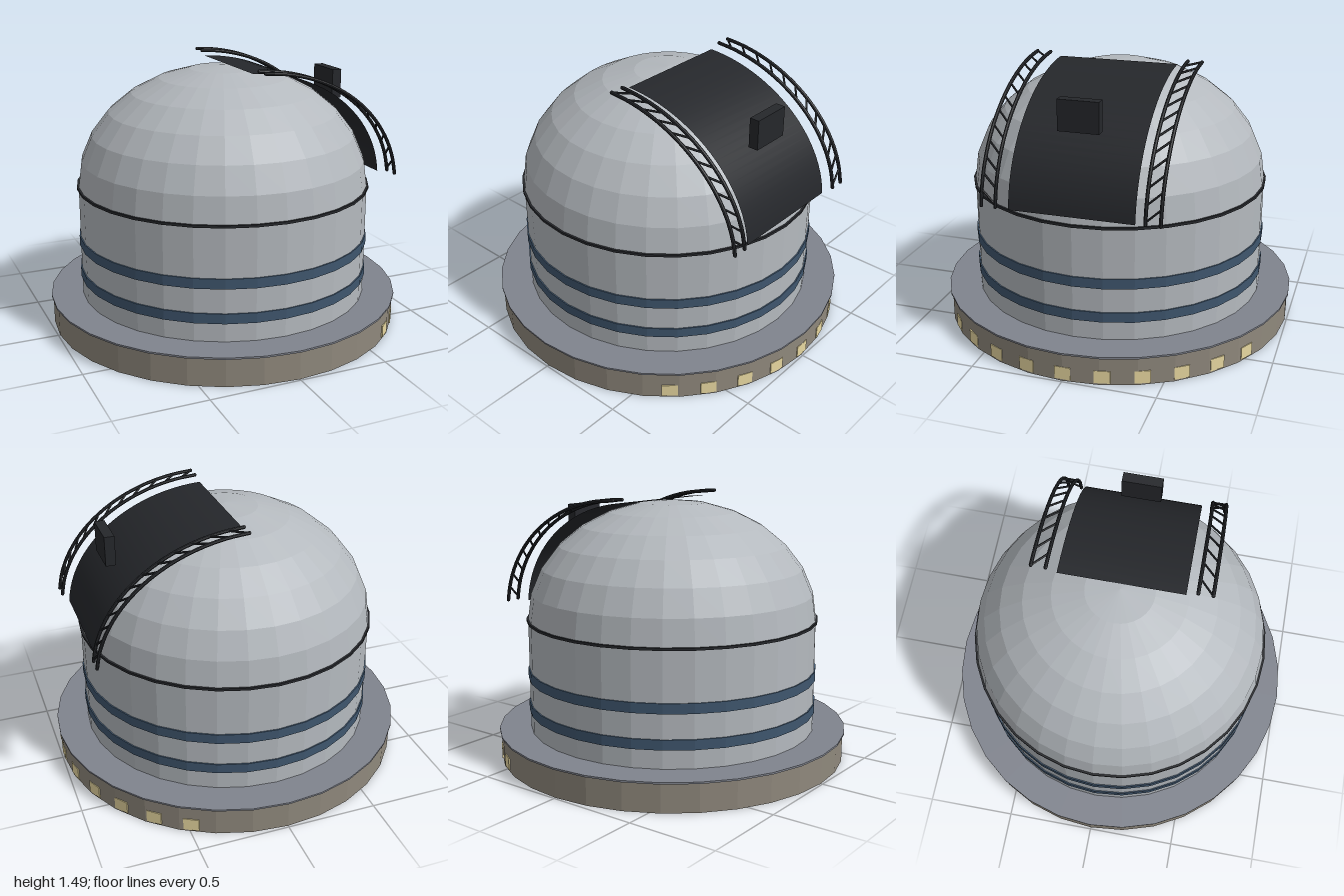
import * as THREE from 'three';

const SIDES = 32;
const paint = (color, extra = {}) =>
  new THREE.MeshStandardMaterial({ color, flatShading: true, ...extra });

export function createModel() {
  const model = new THREE.Group();
  model.name = 'observatory';

  const wallGrey = paint(0xb4b9be);
  const stone = paint(0x8f887c);
  const deckGrey = paint(0x80848e);
  const blue = paint(0x3f566e);
  const black = paint(0x25272b);
  const sheet = paint(0x25272b, { side: THREE.DoubleSide, flatShading: false });
  const glow = paint(0xe8d8a0);

  const add = (name, geometry, material, parent = model) => {
    const mesh = new THREE.Mesh(geometry, material);
    mesh.name = name;
    parent.add(mesh);
    return mesh;
  };
  // Upright drum between two heights
  const drum = (name, radius, y0, y1, material) => {
    add(name, new THREE.CylinderGeometry(radius, radius, y1 - y0, SIDES), material)
      .position.y = (y0 + y1) / 2;
  };

  // Base, deck, wall and its bands
  drum('base', 0.99, 0, 0.156, stone);
  drum('deck', 1.0, 0.155, 0.165, deckGrey);
  drum('wall', 0.82, 0.16, 0.79, wallGrey);
  drum('lowerBand', 0.827, 0.267, 0.322, blue);
  drum('upperBand', 0.827, 0.457, 0.512, blue);
  drum('domeTrim', 0.83, 0.783, 0.797, black);

  // Flattened hemispherical dome
  const domeY = 0.79;
  const dome = add('dome',
    new THREE.SphereGeometry(0.82, SIDES, 7, 0, Math.PI * 2, 0, Math.PI / 2), wallGrey);
  dome.scale.y = 0.665 / 0.82;
  dome.position.y = domeY;

  // Lit windows around the +x side of the base
  const windows = new THREE.Group();
  windows.name = 'windows';
  model.add(windows);
  for (let i = -5; i <= 4; i++) {
    const a = THREE.MathUtils.degToRad(i * 12);
    const pane = add('window', new THREE.BoxGeometry(0.02, 0.07, 0.085), glow, windows);
    pane.position.set(Math.cos(a) * 0.981, 0.045, Math.sin(a) * 0.981);
    pane.rotation.y = -a;
  }

  // Point on an elliptical arc over the dome, angle in degrees from the top
  const arcPoint = (a, b, degrees, z) => {
    const t = THREE.MathUtils.degToRad(degrees);
    return new THREE.Vector3(a * Math.sin(t), domeY + b * Math.cos(t), z);
  };

  // Curved shutter: a flat sheet bent along the arc
  const shutterGeometry = new THREE.PlaneGeometry(1, 0.67, 24, 1);
  const pos = shutterGeometry.attributes.position;
  for (let i = 0; i < pos.count; i++) {
    const p = arcPoint(0.828, 0.666, 2 + (pos.getX(i) + 0.5) * 84, -pos.getY(i));
    pos.setXYZ(i, p.x, p.y, p.z);
  }
  shutterGeometry.computeVertexNormals();
  add('shutter', shutterGeometry, sheet);

  // Equipment box floating over the shutter
  add('equipmentBox', new THREE.BoxGeometry(0.055, 0.165, 0.22), black)
    .position.set(0.668, 1.318, 0);

  // Straight bar between two points
  const bar = (name, from, to, radius, parent) => {
    const d = to.clone().sub(from);
    const mesh = add(name, new THREE.CylinderGeometry(radius, radius, d.length(), 6), black, parent);
    mesh.position.copy(from).addScaledVector(d, 0.5);
    mesh.quaternion.setFromUnitVectors(new THREE.Vector3(0, 1, 0), d.normalize());
  };

  // Curved lattice rails on both sides of the shutter
  const railA = 0.856, railB = 0.688, first = 2.5, last = 84.5;
  for (const side of [1, -1]) {
    const ladder = new THREE.Group();
    ladder.name = side > 0 ? 'frontLattice' : 'backLattice';
    model.add(ladder);
    for (const z of [0.393, 0.47]) {
      const points = [];
      for (let i = 0; i <= 12; i++) {
        points.push(arcPoint(railA, railB, first + (last - first) * i / 12, z * side));
      }
      const path = new THREE.CatmullRomCurve3(points);
      add('rail', new THREE.TubeGeometry(path, 28, 0.01, 8), black, ladder);
      // Rail end caps
      for (const end of [points[0], points[12]]) {
        add('railEnd', new THREE.SphereGeometry(0.01, 8, 6), black, ladder).position.copy(end);
      }
    }
    // Diagonal braces
    const count = 12, step = (last - first) / count;
    for (let i = 0; i < count; i++) {
      const a = first + step * i;
      bar('brace', arcPoint(railA, railB, a, 0.47 * side),
        arcPoint(railA, railB, a + step * 0.85, 0.393 * side), 0.006, ladder);
    }
  }

  return model;
}
